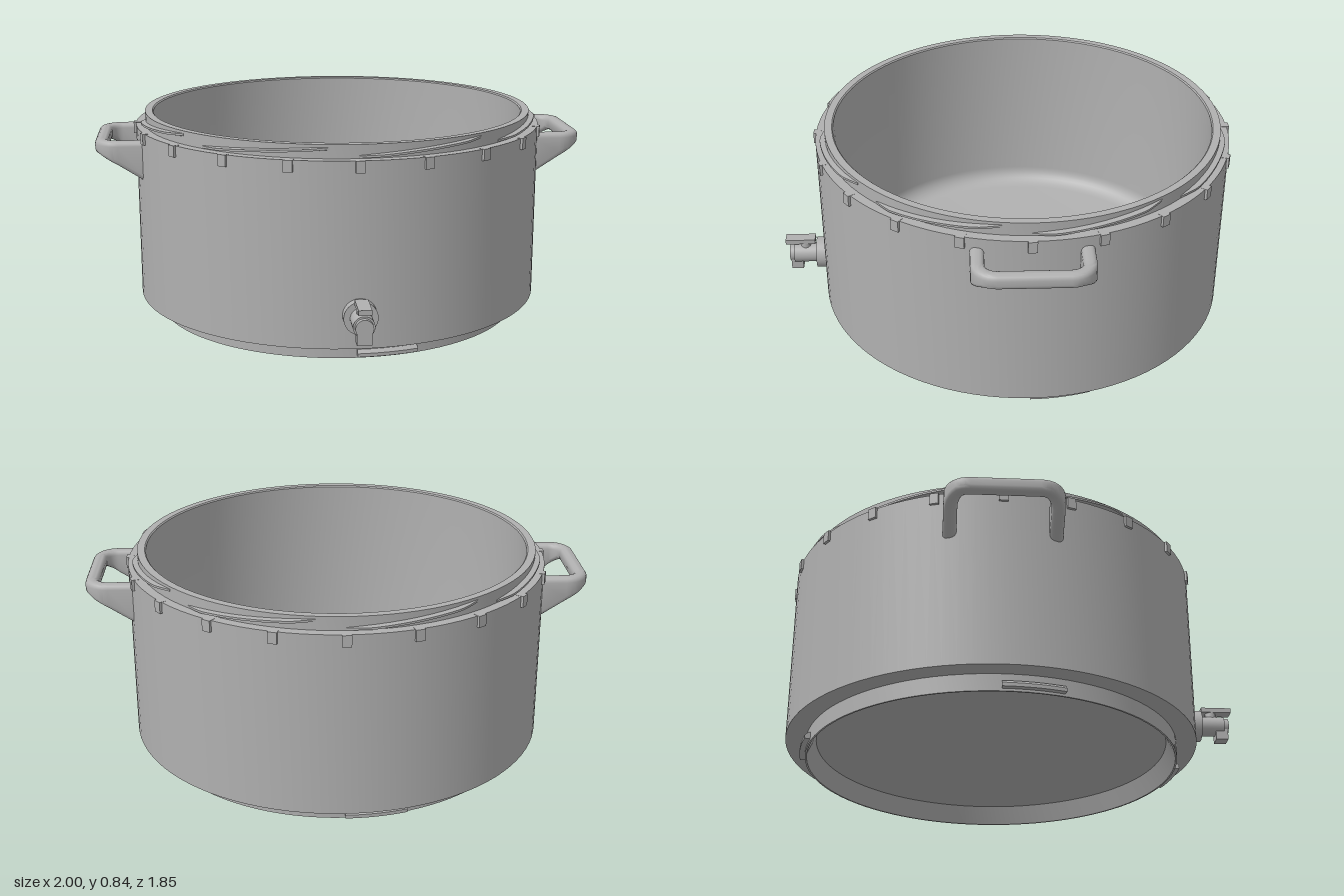
import * as THREE from 'three';
import { toCreasedNormals } from 'three/addons/utils/BufferGeometryUtils.js';

const steel = new THREE.MeshStandardMaterial({ color: 0xb0b0b0 });
steel.name = 'steel grey';

function add(parent, name, geometry, x = 0, y = 0, z = 0) {
  const mesh = new THREE.Mesh(geometry, steel);
  mesh.name = name;
  mesh.position.set(x, y, z);
  parent.add(mesh);
  return mesh;
}

// Closed solid through equal rings, each counter-clockwise around the travel direction
function loft(rings) {
  const n = rings[0].length;
  const index = [];
  for (let i = 0; i < rings.length - 1; i++) {
    for (let j = 0; j < n; j++) {
      const a = i * n + j, b = i * n + (j + 1) % n;
      index.push(a, b, b + n, a, b + n, a + n);
    }
  }
  const last = (rings.length - 1) * n;
  for (let j = 1; j < n - 1; j++) {
    index.push(0, j + 1, j, last, last + j, last + j + 1);
  }
  const g = new THREE.BufferGeometry();
  g.setAttribute('position', new THREE.Float32BufferAttribute(rings.flat(2), 3));
  g.setIndex(index);
  return toCreasedNormals(g, 0.6);
}

// Sweep of a [radius, height] section around the pot axis; section(u) for u = 0..1
function arcSweep(angle, steps, section) {
  const rings = [];
  for (let i = 0; i <= steps; i++) {
    const u = i / steps, a = u * angle;
    rings.push(section(u).map(([r, y]) => [r * Math.sin(a), y, r * Math.cos(a)]));
  }
  return loft(rings);
}

// Pot wall, stepped rim, hollow foot and rounded inner floor as one profile
function potGeometry() {
  const profile = [
    [0, 0.075], [0.715, 0.075], [0.749, 0], [0.756, 0], [0.756, 0.067], [0.838, 0.067],
    [0.838, 0.787], [0.8, 0.787], [0.8, 0.84], [0.77, 0.84], [0.765, 0.835],
  ];
  const fillet = 0.07, floor = 0.09;
  for (let i = 0; i <= 8; i++) {
    const a = (i / 8) * Math.PI / 2;
    profile.push([0.765 - fillet + fillet * Math.cos(a), floor + fillet - fillet * Math.sin(a)]);
  }
  profile.push([0, floor]);
  const points = profile.map(([r, y]) => new THREE.Vector2(r, y));
  return toCreasedNormals(new THREE.LatheGeometry(points, 96), 0.4);
}

// Rounded bar bent into a U, deepening into gussets toward the wall
function handleGeometry() {
  const half = 0.026, round = 0.02, top = 0.748;
  const path = [[0.79, -0.2, 1, 0]];
  for (const side of [-1, 1]) {
    for (let i = 0; i <= 8; i++) {
      const a = (i / 8 + (side > 0 ? 1 : 0)) * Math.PI / 2;
      path.push([0.904 + 0.07 * Math.sin(a), side * 0.13 - 0.07 * Math.cos(a), Math.cos(a), Math.sin(a)]);
    }
  }
  path.push([0.79, 0.2, -1, 0]);
  return loft(path.map(([x, z, tx, tz]) => {
    const bottom = 0.688 - 0.64 * Math.max(0, 0.965 - x);
    const ring = [];
    for (let c = 0; c < 4; c++) {
      const sx = c === 0 || c === 3 ? 1 : -1;
      const cy = c < 2 ? top - round : bottom + round;
      for (let k = 0; k <= 4; k++) {
        const a = (c + k / 4) * Math.PI / 2;
        const e = sx * (half - round) + round * Math.cos(a);
        ring.push([x + tz * e, cy + round * Math.sin(a), z - tx * e]);
      }
    }
    return ring;
  }));
}

function buildTap() {
  const tap = new THREE.Group();
  tap.name = 'tap';
  const alongZ = (r, length) => new THREE.CylinderGeometry(r, r, length, 32).rotateX(Math.PI / 2);
  add(tap, 'tapFlange', alongZ(0.065, 0.045), 0, 0.2, 0.773);
  add(tap, 'tapBarrel', alongZ(0.041, 0.1), 0, 0.2, 0.842);
  add(tap, 'tapNose', alongZ(0.034, 0.022), 0, 0.2, 0.9);
  add(tap, 'tapSpout', new THREE.BoxGeometry(0.056, 0.075, 0.05), 0, 0.1725, 0.882);
  add(tap, 'tapStem', new THREE.CylinderGeometry(0.022, 0.022, 0.05, 24), 0, 0.238, 0.842);
  add(tap, 'tapLever', new THREE.BoxGeometry(0.05, 0.02, 0.125), 0, 0.266, 0.8625);
  return tap;
}

export function createModel() {
  const model = new THREE.Group();
  model.name = 'stockPot';

  const pot = new THREE.Group();
  pot.name = 'pot';
  pot.position.z = -0.08;
  model.add(pot);

  add(pot, 'potBody', potGeometry());
  add(pot, 'floorCentreDisc', new THREE.CylinderGeometry(0.04, 0.04, 0.008, 32), 0, 0.09, 0);

  // Side handles
  const handle = handleGeometry();
  add(pot, 'leftHandle', handle);
  add(pot, 'rightHandle', handle).rotation.y = Math.PI;

  // Slanted threads around the rim
  const thread = arcSweep(0.65, 20, (u) => {
    const y = 0.793 + 0.032 * u;
    const depth = 0.002 + 0.019 * Math.min(1, u * 6, (1 - u) * 6);
    return [[0.795, y - 0.007], [0.795, y + 0.007], [0.8 + depth, y + 0.004], [0.8 + depth, y - 0.004]];
  });
  for (let i = 0; i < 8; i++) add(pot, 'rimThread', thread).rotation.y = i * Math.PI / 4;

  // Locking lugs on the foot
  const lug = arcSweep(0.31, 10, () => [[0.75, 0.01], [0.75, 0.039], [0.765, 0.037], [0.778, 0.024], [0.778, 0.01]]);
  for (let i = 0; i < 4; i++) add(pot, 'footLug', lug).rotation.y = i * Math.PI / 2;

  // Grip tabs below the rim
  const tab = new THREE.BoxGeometry(0.035, 0.045, 0.03).translate(0, 0.7655, 0.833);
  for (let i = 0; i < 20; i++) add(pot, 'gripTab', tab).rotation.y = i * Math.PI / 10;

  model.add(buildTap());
  return model;
}
